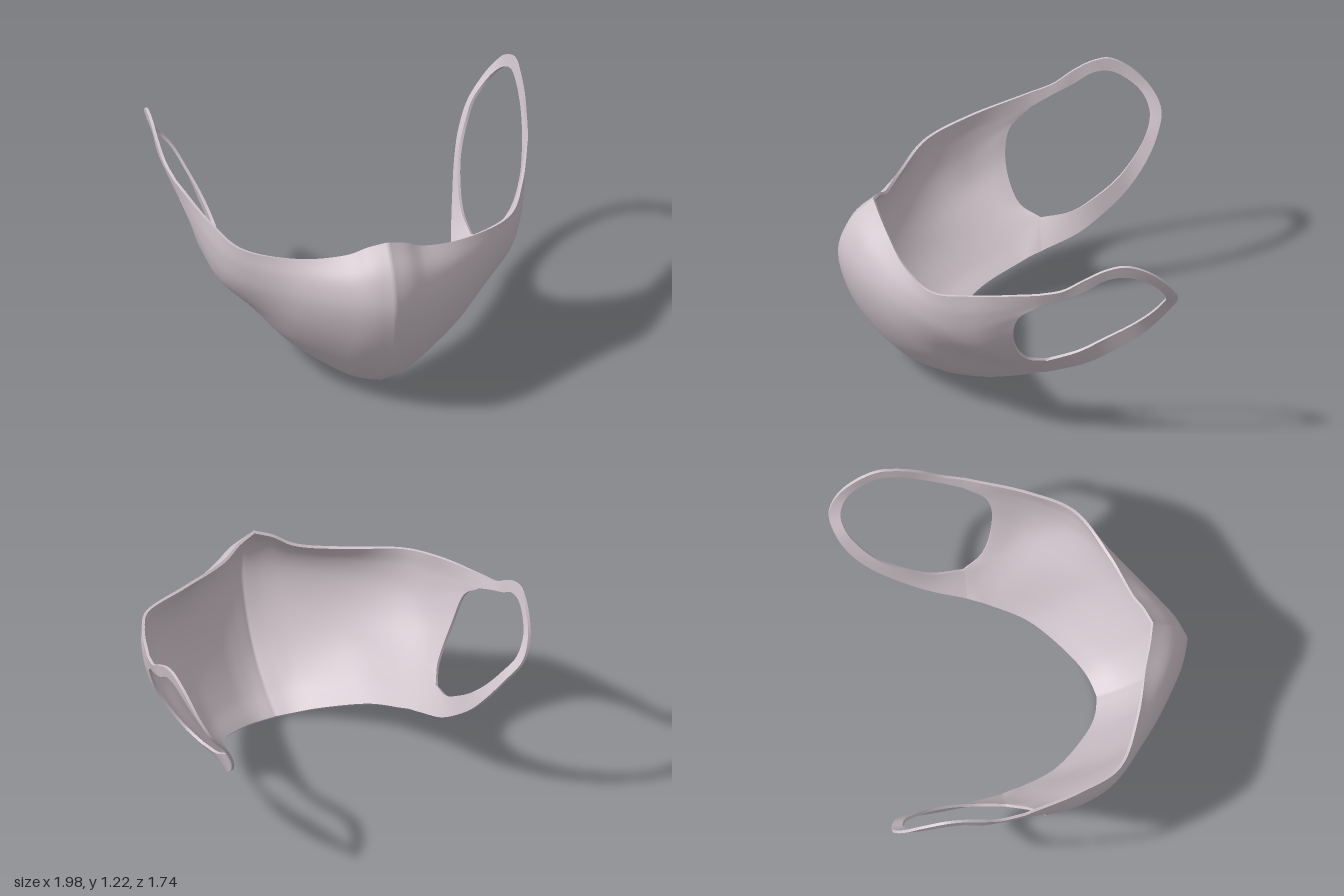
import * as THREE from 'three';
import { mergeVertices } from 'three/addons/utils/BufferGeometryUtils.js';

const V = (p) => new THREE.Vector3(...p);
const spline = (pts) => new THREE.CatmullRomCurve3(pts);
const STEP = 6; // samples between neighbouring rows
const THICK = 0.015;

// Half-mask cross-sections from the centre line to the ear hole, each from bottom edge to top edge
const SECTIONS = [
  [[0, .005, .40], [0, .09, .55], [0, .25, .715], [0, .48, .83], [0, .70, .87], [0, .87, .815], [0, 1.01, .69]],
  [[.1, .02, .375], [.1, .10, .52], [.1, .26, .675], [.1, .48, .795], [.1, .69, .835], [.1, .855, .785], [.1, .975, .66]],
  [[.2, .055, .32], [.2, .125, .47], [.2, .27, .62], [.2, .48, .74], [.2, .68, .78], [.2, .82, .735], [.2, .92, .62]],
  [[.42, .165, .11], [.44, .22, .25], [.46, .34, .42], [.46, .5, .55], [.46, .66, .6], [.455, .78, .59], [.45, .882, .54]],
  [[.515, .24, -.08], [.57, .31, 0], [.64, .42, .14], [.70, .54, .27], [.72, .66, .36], [.725, .79, .395], [.72, .895, .40]],
  [[.54, .27, -.15], [.635, .375, -.11], [.71, .47, .05], [.78, .58, .14], [.815, .70, .19], [.835, .84, .20], [.84, .95, .18]],
  [[.56, .285, -.2], [.665, .425, -.2], [.72, .475, -.09], [.83, .66, -.02], [.89, .84, -.04], [.93, .945, -.15], [.945, 1.02, -.14]],
];

// Ear loop: outer edge and hole edge, from the lower strap round the back to the upper strap
const LOOP_OUTER = [[.56, .285, -.2], [.61, .37, -.4], [.65, .47, -.54], [.69, .585, -.67], [.735, .71, -.77],
  [.80, .84, -.84], [.89, .96, -.87], [.945, 1.07, -.82], [.975, 1.17, -.72], [.99, 1.22, -.6],
  [.99, 1.2, -.5], [.985, 1.135, -.38], [.97, 1.06, -.27], [.945, 1.02, -.14]];
const LOOP_INNER = [[.665, .425, -.2], [.655, .47, -.36], [.67, .56, -.5], [.705, .66, -.63], [.76, .77, -.73],
  [.815, .87, -.79], [.88, .95, -.81], [.935, 1.04, -.775], [.965, 1.11, -.70], [.98, 1.15, -.6],
  [.98, 1.135, -.5], [.975, 1.06, -.38], [.955, 1.0, -.26], [.93, .945, -.15]];

// Grid of points for the body; near the hole the section follows the hole edge with corners
function bodyGrid() {
  const rows = SECTIONS[0].map((_, r) => spline(SECTIONS.map((s) => V(s[r]))));
  const grid = [], n = 48, last = rows.length - 1;
  for (let i = 0; i <= n; i++) {
    const u = i / n, pts = rows.map((c) => c.getPoint(u));
    const smooth = spline(pts), hole = spline(pts.slice(1, last));
    const col = [];
    for (let j = 0; j <= last * STEP; j++) {
      const k = j / STEP;
      let q;
      if (k <= 1) q = pts[0].clone().lerp(pts[1], k);
      else if (k >= last - 1) q = pts[last - 1].clone().lerp(pts[last], k - last + 1);
      else q = hole.getPoint((k - 1) / (last - 2));
      col.push(smooth.getPoint(k / last).lerp(q, u ** 6));
    }
    grid.push(col);
  }
  return grid;
}

// Grid of points for the ear loop
function loopGrid() {
  const outer = spline(LOOP_OUTER.map(V)), inner = spline(LOOP_INNER.map(V));
  const grid = [], n = 78;
  for (let i = 0; i <= n; i++) {
    const a = outer.getPoint(i / n), b = inner.getPoint(i / n), col = [];
    for (let j = 0; j <= STEP; j++) col.push(a.clone().lerp(b, j / STEP));
    grid.push(col);
  }
  return grid;
}

// The right loop sits slightly shorter and lower than the left one
function mirrored(p) {
  const k = THREE.MathUtils.smoothstep(-p.z, 0.25, 0.75);
  return new THREE.Vector3(-p.x, p.y - 0.025 * k, p.z + 0.04 * k);
}

// Both halves welded into one sheet
function buildSheet() {
  const pos = [];
  const tri = (a, b, c) => {
    for (const p of [a, b, c]) pos.push(p.x, p.y, p.z);
    for (const p of [a, c, b].map(mirrored)) pos.push(p.x, p.y, p.z);
  };
  for (const g of [bodyGrid(), loopGrid()]) {
    for (let i = 0; i < g.length - 1; i++) {
      for (let j = 0; j < g[0].length - 1; j++) {
        tri(g[i][j], g[i + 1][j], g[i + 1][j + 1]);
        tri(g[i][j], g[i + 1][j + 1], g[i][j + 1]);
      }
    }
  }
  const geo = new THREE.BufferGeometry();
  geo.setAttribute('position', new THREE.Float32BufferAttribute(pos, 3));
  const welded = mergeVertices(geo, 1e-4);
  welded.computeVertexNormals();
  return welded;
}

// Copy of the sheet moved inwards and turned to face the wearer
function buildLining(sheet) {
  const lining = sheet.clone();
  const p = lining.attributes.position, n = lining.attributes.normal;
  for (let i = 0; i < p.count; i++) {
    p.setXYZ(i, p.getX(i) - THICK * n.getX(i), p.getY(i) - THICK * n.getY(i), p.getZ(i) - THICK * n.getZ(i));
  }
  lining.setIndex([...sheet.index.array].reverse());
  lining.computeVertexNormals();
  return lining;
}

// Narrow band joining sheet and lining along every open edge
function buildRim(sheet, lining) {
  const idx = sheet.index.array, edges = new Map();
  for (let i = 0; i < idx.length; i += 3) {
    for (let e = 0; e < 3; e++) {
      const a = idx[i + e], b = idx[i + (e + 1) % 3];
      if (a === b) continue;
      if (!edges.delete(b + '_' + a)) edges.set(a + '_' + b, [a, b]);
    }
  }
  const pos = [];
  const add = (g, i) => pos.push(...V([0, 0, 0]).fromBufferAttribute(g.attributes.position, i).toArray());
  for (const [a, b] of edges.values()) {
    add(sheet, b); add(sheet, a); add(lining, a);
    add(sheet, b); add(lining, a); add(lining, b);
  }
  const geo = new THREE.BufferGeometry();
  geo.setAttribute('position', new THREE.Float32BufferAttribute(pos, 3));
  const rim = mergeVertices(geo, 1e-5);
  rim.computeVertexNormals();
  return rim;
}

export function createModel() {
  const group = new THREE.Group();
  group.name = 'faceMask';
  const cloth = new THREE.MeshStandardMaterial({ color: 0xd0c4cb });
  const sheet = buildSheet(), lining = buildLining(sheet);
  const parts = { outerCloth: sheet, innerLining: lining, rimEdge: buildRim(sheet, lining) };
  for (const [name, geo] of Object.entries(parts)) {
    const mesh = new THREE.Mesh(geo, cloth);
    mesh.name = name;
    group.add(mesh);
  }
  return group;
}
